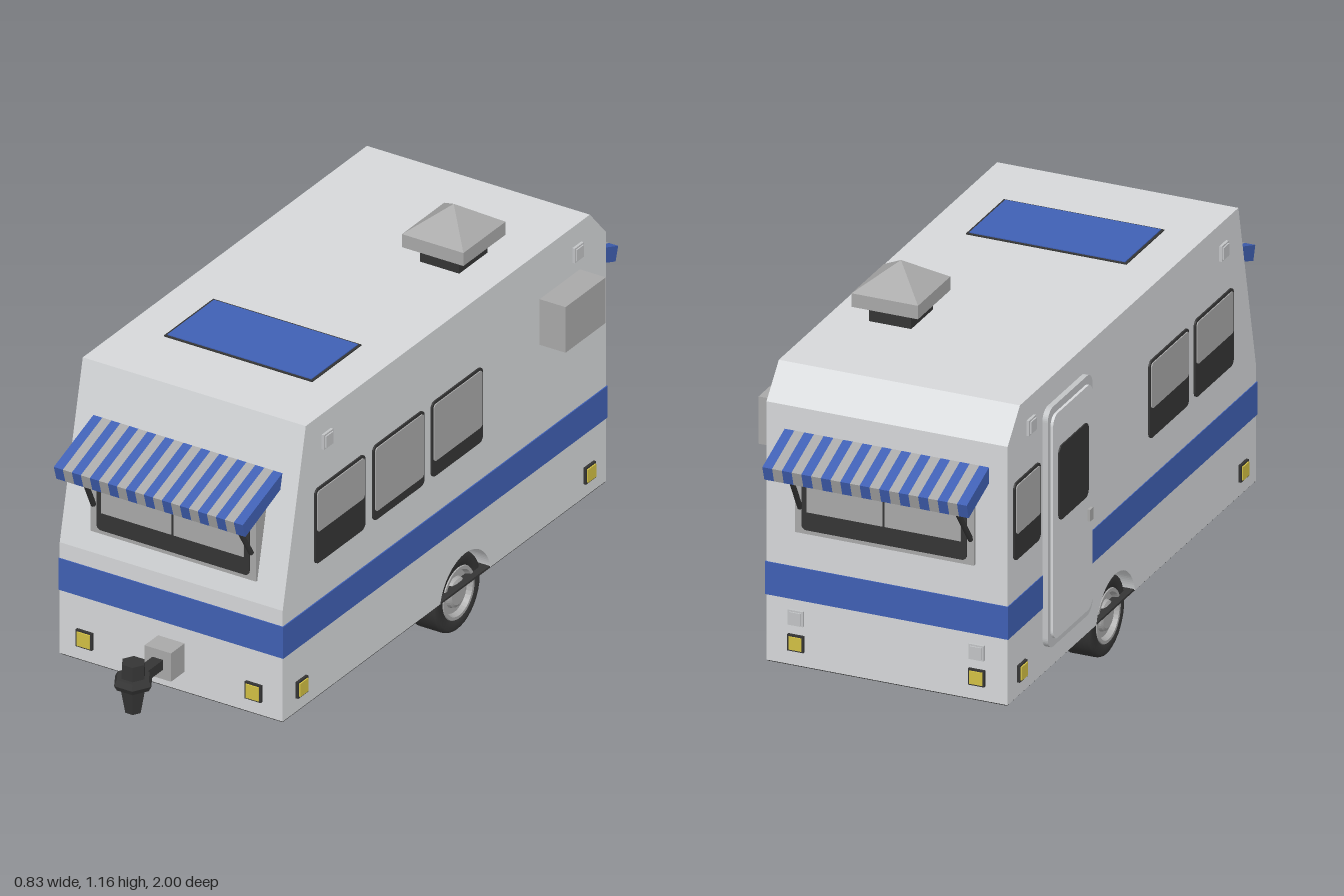
import * as THREE from 'three';

const mat = (name, color) => Object.assign(new THREE.MeshStandardMaterial({ color }), { name });

export function createModel() {
  const white = mat('shell white', 0xd6d8da);
  const grey = mat('fitting grey', 0xa9a9a9);
  const dark = mat('dark rubber and glass', 0x353535);
  const blue = mat('stripe blue', 0x4060b4);
  const yellow = mat('lamp yellow', 0xd2c044);
  const silver = mat('trim silver', 0xc2c4c6);

  const model = new THREE.Group();
  model.name = 'caravan';
  const MID = -0.03, RIGHT = -0.388, LEFT = 0.327, FRONT = 0.755, BACK = -0.855;

  const add = (name, geo, material, x = 0, y = 0, z = 0, parent = model) => {
    const m = new THREE.Mesh(geo, material);
    m.name = name;
    m.position.set(x, y, z);
    parent.add(m);
    return m;
  };
  const box = (name, material, w, h, d, x, y, z, parent) =>
    add(name, new THREE.BoxGeometry(w, h, d), material, x, y, z, parent);
  const facet = (geo) => {
    const g = geo.toNonIndexed();
    g.computeVertexNormals();
    return g;
  };
  // Side profile in (z, y), swept from x0 to x1
  const prism = (shape, x0, x1) =>
    new THREE.ExtrudeGeometry(shape, { depth: x1 - x0, bevelEnabled: false, curveSegments: 20 })
      .rotateY(-Math.PI / 2).translate(x1, 0, 0);
  const poly = (pts) => new THREE.Shape(pts.map(([a, b]) => new THREE.Vector2(a, b)));
  // Rounded plate facing +z, back on z = 0
  const plate = (w, h, r, d) => {
    const s = new THREE.Shape(), a = w / 2, b = h / 2;
    s.absarc(a - r, b - r, r, 0, Math.PI / 2);
    s.absarc(r - a, b - r, r, Math.PI / 2, Math.PI);
    s.absarc(r - a, r - b, r, Math.PI, Math.PI * 1.5);
    s.absarc(a - r, r - b, r, Math.PI * 1.5, Math.PI * 2);
    return new THREE.ExtrudeGeometry(s, { depth: d, bevelEnabled: false, curveSegments: 5 });
  };
  // Group whose local +z points out of a wall
  const mount = (name, x, y, z, turn) => {
    const g = new THREE.Group();
    g.name = name;
    g.position.set(x, y, z);
    g.rotation.y = turn;
    model.add(g);
    return g;
  };
  const rod = (name, material, a, b, r) => {
    const p = new THREE.Vector3(...a), q = new THREE.Vector3(...b), d = q.clone().sub(p);
    const m = add(name, new THREE.CylinderGeometry(r, r, d.length(), 8), material);
    m.position.copy(p).add(q).multiplyScalar(0.5);
    m.quaternion.setFromUnitVectors(new THREE.Vector3(0, 1, 0), d.normalize());
  };

  // Shell with wheel arches
  const wheelZ = -0.155, wheelY = 0.117, archR = 0.128, a0 = Math.asin(0.028 / archR);
  const shell = new THREE.Shape();
  shell.moveTo(BACK, 0.145);
  shell.lineTo(BACK, 0.91);
  shell.lineTo(-0.775, 1);
  shell.lineTo(0.64, 1);
  shell.lineTo(FRONT, 0.485);
  shell.lineTo(FRONT, 0.145);
  shell.absarc(wheelZ, wheelY, archR, a0, Math.PI - a0, false);
  shell.closePath();
  add('shell', prism(shell, RIGHT, LEFT), white);
  box('floor', dark, LEFT - RIGHT - 0.004, 0.006, FRONT - BACK - 0.004, MID, 0.145, -0.05);
  box('archFilling', dark, 0.46, 0.1, 0.22, MID, 0.197, wheelZ);
  box('stripe', blue, LEFT - RIGHT + 0.006, 0.097, FRONT - BACK + 0.006, MID, 0.3885, -0.05);

  // Wheels
  const v = (pts) => pts.map(([r, y]) => new THREE.Vector2(r, y));
  const tyre = v([[0.075, -0.048], [0.105, -0.048], [0.113, -0.044], [0.116, -0.036],
    [0.116, 0.036], [0.113, 0.044], [0.105, 0.048], [0.078, 0.048], [0.074, 0.03]]);
  const rim = v([[0.08, 0.046], [0.077, 0.051], [0.068, 0.051], [0.062, 0.036], [0.045, 0.036],
    [0.042, 0.046], [0.034, 0.05], [0, 0.05]]).reverse();
  for (const s of [-1, 1]) {
    const wheel = mount('wheel', s > 0 ? 0.256 : -0.317, 0.116, wheelZ, 0);
    wheel.rotation.z = -s * Math.PI / 2;
    add('tyre', new THREE.LatheGeometry(tyre, 36), dark, 0, 0, 0, wheel);
    add('innerDisc', new THREE.CylinderGeometry(0.08, 0.08, 0.07, 32), dark, 0, -0.01, 0, wheel);
    const r = add('rim', facet(new THREE.LatheGeometry(rim, 36)), grey, 0, 0, 0, wheel);
    r.geometry.index === null && r.geometry.scale(1, 1, 1);
    rimFacing(r.geometry);
  }

  // Side windows: dark pane with a lowered blind
  const sideWindow = (x, z, w, drop) => {
    const g = mount('sideWindow', x, 0.67, z, Math.sign(x) * Math.PI / 2);
    add('pane', plate(w, 0.23, 0.018, 0.005), dark, 0, 0, 0, g);
    const h = 0.214 - drop;
    add('blind', plate(w - 0.016, h, 0.01, 0.008), grey, 0, 0.107 - h / 2, 0, g);
  };
  sideWindow(LEFT, 0.475, 0.25, 0.09);
  sideWindow(LEFT, 0.183, 0.255, 0.02);
  sideWindow(LEFT, -0.108, 0.255, 0.04);
  sideWindow(RIGHT, 0.475, 0.25, 0.09);
  sideWindow(RIGHT, 0.183, 0.255, 0.08);
  sideWindow(RIGHT, -0.735, 0.17, 0.07);

  // Door
  const door = mount('door', RIGHT, 0.57, -0.485, -Math.PI / 2);
  add('doorFrame', plate(0.29, 0.71, 0.035, 0.016), silver, 0, 0, 0, door);
  add('doorLeaf', plate(0.255, 0.665, 0.03, 0.024), white, 0, 0, 0, door);
  add('doorWindow', plate(0.19, 0.22, 0.02, 0.005), dark, 0, 0.12, 0.023, door);
  box('doorHandle', grey, 0.02, 0.035, 0.012, 0.105, -0.05, 0.026, door);

  // Front and rear windows under striped awnings
  const awnings = [
    { name: 'front', turn: 0, face: 0.748, pts: [[0.665, 0.857], [0.87, 0.785], [0.857, 0.743], [0.665, 0.815]],
      top: [0.825, 0.765], foot: [0.75, 0.63] },
    { name: 'rear', turn: Math.PI, face: -0.867, pts: [[-0.82, 0.852], [-1, 0.785], [-0.987, 0.743], [-0.82, 0.805]],
      top: [-0.96, 0.765], foot: [-0.865, 0.62] },
  ];
  for (const a of awnings) {
    const g = mount(a.name + 'Window', -0.028, 0.67, a.face, a.turn);
    box('windowFrame', grey, 0.53, 0.25, 0.12, 0, 0, -0.06, g);
    add('pane', plate(0.49, 0.225, 0.015, 0.003), dark, 0, 0, 0, g);
    for (const s of [-1, 1]) {
      box('blind', grey, 0.225, 0.165, 0.004, s * 0.116, 0.025, 0.004, g);
      const x = MID + s * 0.243;
      rod(a.name + 'AwningStrut', dark, [x, a.top[1], a.top[0]], [x + s * 0.01, a.foot[1], a.foot[0]], 0.008);
    }
    const n = 21, x0 = -0.333, w = 0.606 / n;
    for (let i = 0; i < n; i++)
      add(a.name + 'AwningStripe', prism(poly(a.pts), x0 + i * w, x0 + (i + 1) * w), i % 2 ? grey : blue);
  }

  // Lamps on all four walls
  const lamp = (name, material, x, y, z, turn, size) => {
    const g = mount(name, x, y, z, turn);
    box('lampFrame', material === yellow ? dark : silver, size, size, 0.008, 0, 0, 0.004, g);
    box('lens', material, size - 0.01, size - 0.01, 0.012, 0, 0, 0.006, g);
  };
  for (const s of [-1, 1]) {
    const side = s > 0 ? LEFT : RIGHT, turn = s * Math.PI / 2, x = MID + s * 0.268;
    lamp('frontLamp', yellow, x - 0.005 + s * 0.003, 0.212, FRONT, 0, 0.052);
    lamp('rearLamp', yellow, x, 0.212, BACK, Math.PI, 0.048);
    lamp('reversingLamp', silver, x, 0.287, BACK, Math.PI, 0.045);
    for (const z of [0.665, -0.768]) lamp('sideLamp', yellow, side, 0.212, z, turn, 0.05);
    for (const z of [0.538, -0.71]) lamp('markerLamp', silver, side, 0.915, z, turn, 0.045);
  }

  // Roof hatch, roof vent and air unit
  box('hatchRim', dark, 0.476, 0.004, 0.246, MID, 1.001, 0.3);
  box('hatch', blue, 0.462, 0.007, 0.232, MID, 1.002, 0.3);
  box('ventNeck', dark, 0.125, 0.06, 0.14, 0.148, 1.025, -0.375);
  box('ventCap', grey, 0.197, 0.04, 0.21, 0.148, 1.07, -0.375);
  const roof = new THREE.ConeGeometry(Math.SQRT1_2, 0.074, 4).rotateY(Math.PI / 4).scale(0.197, 1, 0.21);
  add('ventRoof', facet(roof), grey, 0.148, 1.127, -0.375);
  box('airUnit', grey, 0.09, 0.14, 0.2, 0.365, 0.785, -0.625);

  // Tow hitch
  const hex = (name, rTop, rBottom, y0, y1) =>
    add(name, facet(new THREE.CylinderGeometry(rTop, rBottom, y1 - y0, 6).rotateY(Math.PI / 6)),
      dark, MID, (y0 + y1) / 2, 0.945);
  box('hitchBlock', grey, 0.085, 0.087, 0.075, MID, 0.249, 0.785);
  box('hitchBar', dark, 0.034, 0.03, 0.13, MID, 0.25, 0.875);
  hex('hitchHead', 0.034, 0.036, 0.265, 0.31);
  hex('hitchCollar', 0.05, 0.058, 0.25, 0.267);
  hex('hitchCollar', 0.058, 0.05, 0.235, 0.25);
  hex('hitchPost', 0.038, 0.024, 0.16, 0.235);

  return model;
}

// Makes the wheel rim face outward (+y before mounting)
function rimFacing(geo) {
  const n = geo.attributes.normal, p = geo.attributes.position;
  let up = 0;
  for (let i = 0; i < n.count; i++) up += n.getY(i);
  if (up >= 0) return;
  for (let i = 0; i < p.count; i += 3) {
    const a = new THREE.Vector3().fromBufferAttribute(p, i);
    const b = new THREE.Vector3().fromBufferAttribute(p, i + 1);
    p.setXYZ(i, b.x, b.y, b.z);
    p.setXYZ(i + 1, a.x, a.y, a.z);
  }
  geo.computeVertexNormals();
}
